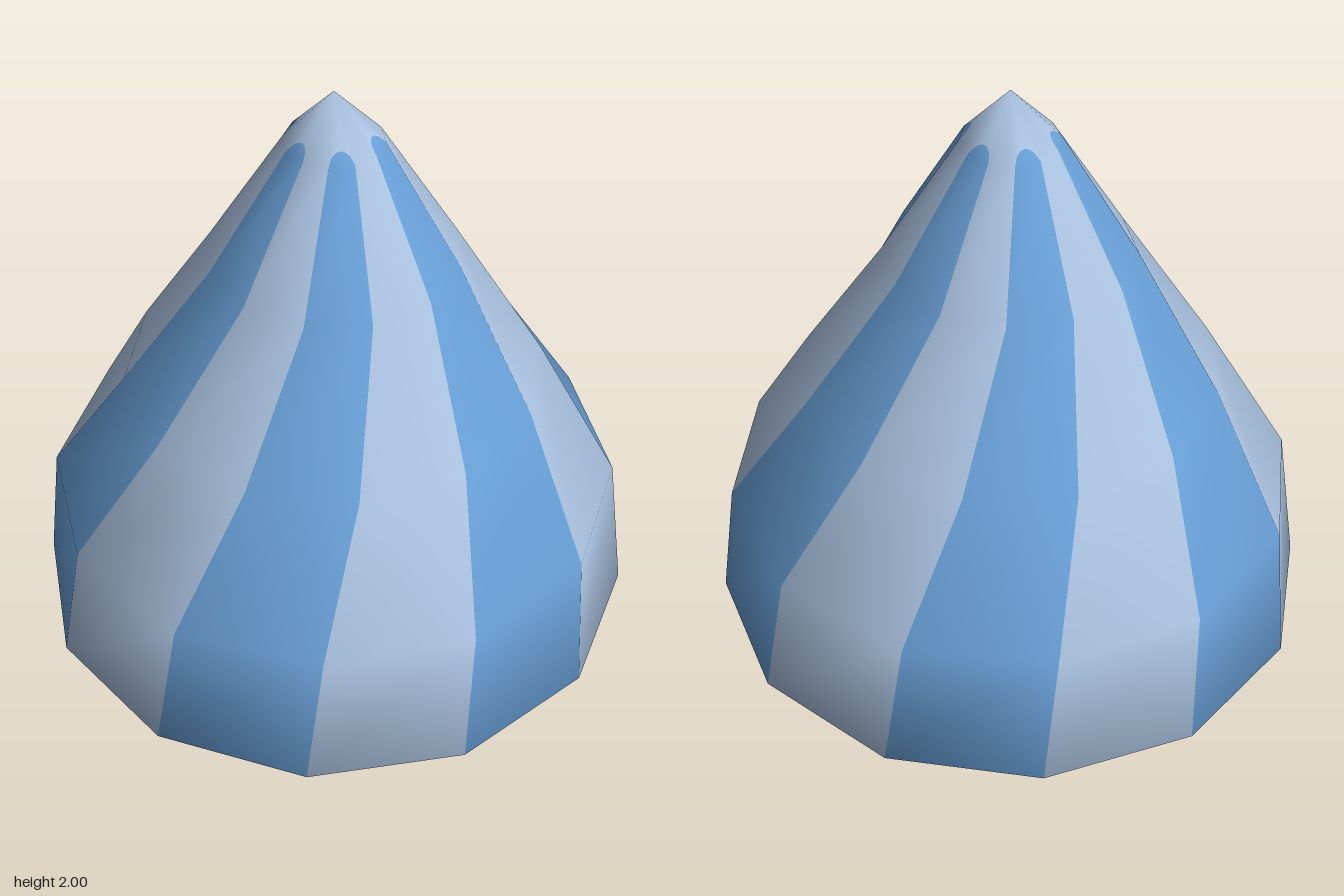
import * as THREE from 'three';

const COLUMNS = 12;
// Rings from the underside centre to the tip: [radius, height, twist in degrees]
const RINGS = [
  [0, 0, -51], [0.18, 0, -47], [0.42, 0.005, -35], [0.74, 0.02, -23], [0.977, 0.22, -16],
  [0.93, 0.63, -13], [0.68, 1.03, -4.5], [0.405, 1.45, 6], [0.158, 1.84, 13], [0, 2, 13],
];
const LAST = RINGS.length - 1;

// Coarse twisted cage, giving corner positions and smooth normals
function createCage() {
  const pos = [], index = [];
  RINGS.forEach(([r, y, twist], j) => {
    for (let i = 0; i < COLUMNS; i++) {
      const a = THREE.MathUtils.degToRad(twist + (i - 0.5) * 360 / COLUMNS);
      pos.push(0.95 * r * Math.sin(a), y, r * Math.cos(a));
      if (j === LAST) continue;
      const n = (i + 1) % COLUMNS, p = j * COLUMNS, q = p + COLUMNS;
      index.push(p + i, p + n, q + n, p + i, q + n, q + i);
    }
  });
  const cage = new THREE.BufferGeometry();
  cage.setAttribute('position', new THREE.Float32BufferAttribute(pos, 3));
  cage.setIndex(index);
  cage.computeVertexNormals();
  for (let i = 0; i < COLUMNS; i++) {
    cage.attributes.normal.setXYZ(i, 0, -1, 0);
    cage.attributes.normal.setXYZ(LAST * COLUMNS + i, 0, 1, 0);
  }
  return cage;
}

// Attribute value inside one cage cell
function sample(attribute, row, col, u, v) {
  const corner = (j, i) =>
    new THREE.Vector3().fromBufferAttribute(attribute, j * COLUMNS + i % COLUMNS);
  const low = corner(row, col).lerp(corner(row, col + 1), u);
  const high = corner(row + 1, col).lerp(corner(row + 1, col + 1), u);
  return low.lerp(high, v);
}

// Adds the strip of a cell between the curves from(u) and to(u)
function addPatch(out, cage, row, col, from, to, steps) {
  const { position, normal } = cage.attributes;
  const put = (u, v) => {
    out.pos.push(...sample(position, row, col, u, v).toArray());
    out.nor.push(...sample(normal, row, col, u, v).normalize().toArray());
  };
  for (let k = 0; k < steps; k++) {
    const a = k / steps, b = (k + 1) / steps;
    put(a, from(a)); put(b, from(b)); put(b, to(b));
    put(a, from(a)); put(b, to(b)); put(a, to(a));
  }
}

function createMesh(name, data, material) {
  const geometry = new THREE.BufferGeometry();
  geometry.setAttribute('position', new THREE.Float32BufferAttribute(data.pos, 3));
  geometry.setAttribute('normal', new THREE.Float32BufferAttribute(data.nor, 3));
  const mesh = new THREE.Mesh(geometry, material);
  mesh.name = name;
  return mesh;
}

export function createModel() {
  const paleBlue = new THREE.MeshStandardMaterial({ name: 'paleBlue', color: 0xaac2e0 });
  const midBlue = new THREE.MeshStandardMaterial({ name: 'midBlue', color: 0x689fd6 });
  const cage = createCage();
  const body = { pos: [], nor: [] }, stripes = { pos: [], nor: [] };
  const zero = () => 0, one = () => 1;
  const arch = (u) => Math.sqrt(Math.max(0, 1 - (2 * u - 1) ** 2));

  for (let row = 0; row < LAST; row++) {
    for (let col = 0; col < COLUMNS; col++) {
      if (col % 2) {
        addPatch(body, cage, row, col, zero, one, 1);
      } else if (row === 0) {
        // Rounded stripe ends under the base
        const edge = (u) => 1 - 0.35 * arch(u);
        addPatch(body, cage, row, col, zero, edge, 10);
        addPatch(stripes, cage, row, col, edge, one, 10);
      } else if (row === LAST - 1) {
        // Rounded stripe ends below the tip
        const edge = (u) => 0.2 * arch(u);
        addPatch(stripes, cage, row, col, zero, edge, 10);
        addPatch(body, cage, row, col, edge, one, 10);
      } else {
        addPatch(stripes, cage, row, col, zero, one, 1);
      }
    }
  }

  const group = new THREE.Group();
  group.name = 'swirledDrop';
  group.add(createMesh('body', body, paleBlue), createMesh('swirlStripes', stripes, midBlue));
  return group;
}
